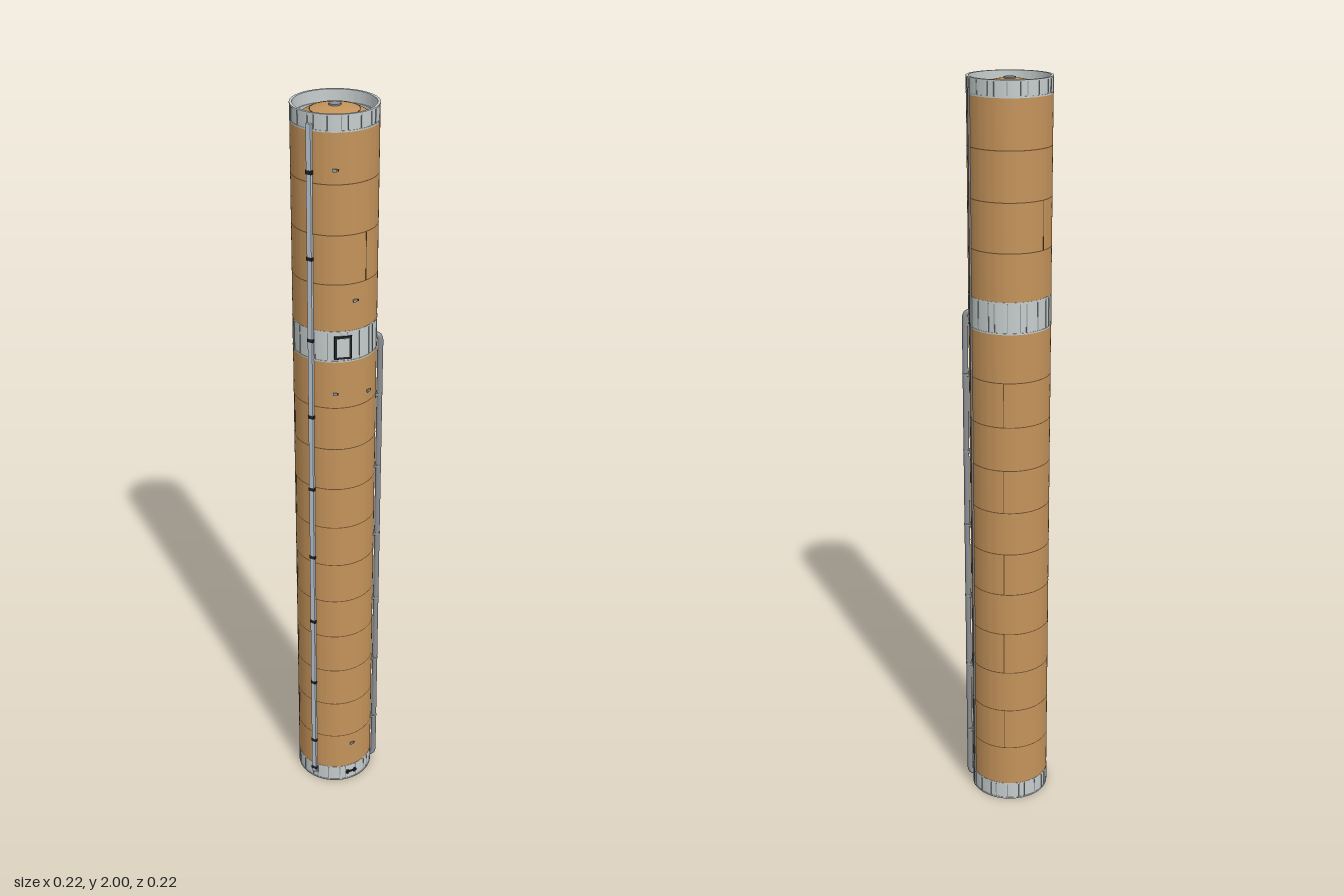
import * as THREE from 'three';
import { toCreasedNormals } from 'three/addons/utils/BufferGeometryUtils.js';

const R = 0.1062, SEG = 96;
const mat = (name, color, side = THREE.FrontSide) => {
  const m = new THREE.MeshStandardMaterial({ color, side });
  m.name = name;
  return m;
};

export function createModel() {
  const foam = mat('orange foam', 0xc4935a);
  const metal = mat('light grey metal', 0xc6cdcd);
  const rib = mat('mid grey metal', 0x939a9d);
  const tray = mat('pale blue grey', 0xbcc8d4);
  const pipeGrey = mat('pipe grey', 0x8c8f92);
  const seam = mat('seam brown', 0x6b4d2c);
  const black = mat('black', 0x202224);

  const model = new THREE.Group();
  model.name = 'rocketTank';
  const body = new THREE.Group();
  body.name = 'body';
  body.position.set(-0.004, 0, -0.004);
  model.add(body);

  const add = (name, geo, material, y = 0) => {
    const m = new THREE.Mesh(geo, material);
    m.name = name;
    m.position.y = y;
    body.add(m);
    return m;
  };
  // place a mesh on the wall: angle in degrees from the front towards the left
  const onWall = (name, geo, material, deg, y, r = R) => {
    const m = add(name, geo, material, y);
    const a = THREE.MathUtils.degToRad(deg);
    m.position.x = r * Math.sin(a);
    m.position.z = r * Math.cos(a);
    m.rotation.y = a;
    return m;
  };
  const box = (w, h, d) => new THREE.BoxGeometry(w, h, d);
  const lathe = (pts) => toCreasedNormals(
    new THREE.LatheGeometry(pts.map(([x, y]) => new THREE.Vector2(x, y)), SEG), 0.6);
  const tubeWall = (ri, ro, y0, y1) => lathe([[ri, y0], [ro, y0], [ro, y1], [ri, y1], [ri, y0]]);
  const band = (r, h) => new THREE.CylinderGeometry(r, r, h, SEG, 1, true);

  // foam-covered barrels
  add('lowerTank', tubeWall(0.098, R, 0.05, 1.38), foam);
  add('upperTank', tubeWall(0.098, R, 1.46, 1.96), foam);

  // metal skirts and the joint between the tanks
  const skirts = [['bottomSkirt', 0, 0.05], ['middleRing', 1.38, 1.46], ['topSkirt', 1.96, 2]];
  for (const [name, y0, y1] of skirts) {
    add(name, tubeWall(0.1, R - 0.0005, y0, y1), metal);
    for (let i = 0; i < 24; i++)
      onWall(name + 'Stringer', box(0.0022, y1 - y0 - 0.006, 0.0016), rib,
        i * 15 + (i % 3) * 3 + 5, (y0 + y1) / 2);
  }
  for (const y of [0.002, 0.05, 1.38, 1.46, 1.96, 1.998])
    add('flange', tubeWall(0.1, R + 0.0006, y - 0.002, y + 0.002), metal);
  add('topInnerLip', tubeWall(0.097, 0.1005, 1.955, 1.97), metal);
  add('bottomInnerLip', tubeWall(0.097, 0.1005, 0.03, 0.045), metal);

  // end domes, each with a seam and a metal cap
  const rise = 0.048;
  const dome = [];
  for (let i = 0; i <= 16; i++) {
    const t = (i / 16) * Math.PI / 2;
    dome.push([0.0985 * Math.cos(t), rise * Math.sin(t)]);
  }
  const domeTop = lathe(dome);
  const domeSeam = rise * Math.sqrt(1 - (0.06 / 0.0985) ** 2);
  const seamRing = new THREE.TorusGeometry(0.06, 0.0007, 6, 64);
  seamRing.rotateX(Math.PI / 2);
  for (const [name, base, dir] of [['top', 1.945, 1], ['bottom', 0.055, -1]]) {
    const d = add(name + 'Dome', domeTop, foam, base);
    if (dir < 0) d.rotation.x = Math.PI;
    add(name + 'DomeSeam', seamRing, seam, base + dir * domeSeam);
    add(name + 'Cap', new THREE.CylinderGeometry(0.015, 0.015, 0.006, 32), pipeGrey, base + dir * rise);
  }

  // weld seams around the barrels
  const rings = [1.585, 1.71, 1.835];
  for (let i = 0; i < 10; i++) rings.push(0.17 + i * 0.12);
  for (const y of rings) add('ringSeam', band(R + 0.0004, 0.0025), seam, y);
  // upright seams in every second course
  for (let i = 0; i < 5; i++)
    for (const deg of [-42, 198])
      onWall('uprightSeam', box(0.002, 0.12, 0.001), seam, deg, 0.23 + i * 0.24);
  for (const deg of [78, 258])
    onWall('uprightSeam', box(0.002, 0.125, 0.001), seam, deg, 1.648);

  // cable tray down the front with dark clips
  onWall('cableTray', box(0.013, 1.95, 0.007), tray, 0, 1.0, R + 0.0035);
  for (let i = 0; i < 10; i++) {
    const y = i === 0 ? 0.04 : 0.145 + (i - 1) * 0.2145;
    onWall('trayClip', box(0.016, 0.009, 0.0078), black, 0, y, R + 0.0036);
  }
  onWall('trayClip', box(0.016, 0.009, 0.0078), black, 0, 1.86, R + 0.0036);

  // thin conduit along the rear left
  onWall('conduit', box(0.005, 1.97, 0.005), pipeGrey, 140, 0.99, R + 0.0018);

  // feed line, bent into the body at both ends, with brackets
  const a = THREE.MathUtils.degToRad(118);
  const at = (r, y) => new THREE.Vector3(r * Math.sin(a), y, r * Math.cos(a));
  const path = new THREE.CurvePath();
  const bends = [[0.103, 0.024], [0.1155, 0.024], [0.1155, 0.042],
    [0.1155, 1.392], [0.1155, 1.41], [0.103, 1.41]].map(([r, y]) => at(r, y));
  path.add(new THREE.QuadraticBezierCurve3(bends[0], bends[1], bends[2]));
  path.add(new THREE.LineCurve3(bends[2], bends[3]));
  path.add(new THREE.QuadraticBezierCurve3(bends[3], bends[4], bends[5]));
  // sample each piece so the bends stay round
  const pts = path.curves.flatMap((c, i) => c.getPoints(i === 1 ? 30 : 6).slice(i ? 1 : 0));
  const line = new THREE.CatmullRomCurve3(pts);
  add('feedLine', new THREE.TubeGeometry(line, 400, 0.0075, 16), pipeGrey);
  for (let i = 0; i < 6; i++) {
    const y = 0.17 + i * 0.2145;
    onWall('feedLineBracket', box(0.02, 0.008, 0.007), rib, 118, y, R + 0.003);
    onWall('feedLineCollar', new THREE.CylinderGeometry(0.0083, 0.0083, 0.006, 16), rib, 118, y, 0.1155);
  }

  // access hatch on the middle ring
  onWall('hatchFrame', box(0.044, 0.062, 0.006), black, 44, 1.418, R - 0.001);
  onWall('hatchPanel', box(0.032, 0.05, 0.007), metal, 44, 1.418, R - 0.001);

  // service plate on the bottom skirt
  onWall('servicePlate', box(0.034, 0.005, 0.005), black, 60, 0.027, R);
  for (const deg of [54, 66])
    onWall('servicePort', box(0.006, 0.014, 0.005), black, deg, 0.027, R);

  // small fittings on the foam
  for (const [deg, y] of [[60, 0.135], [60, 1.54], [33, 1.29], [33, 1.87], [85, 1.28]]) {
    onWall('fitting', box(0.01, 0.007, 0.006), rib, deg, y, R + 0.001);
    onWall('fittingTip', box(0.004, 0.004, 0.004), black, deg + 4, y, R + 0.001);
  }
  return model;
}
